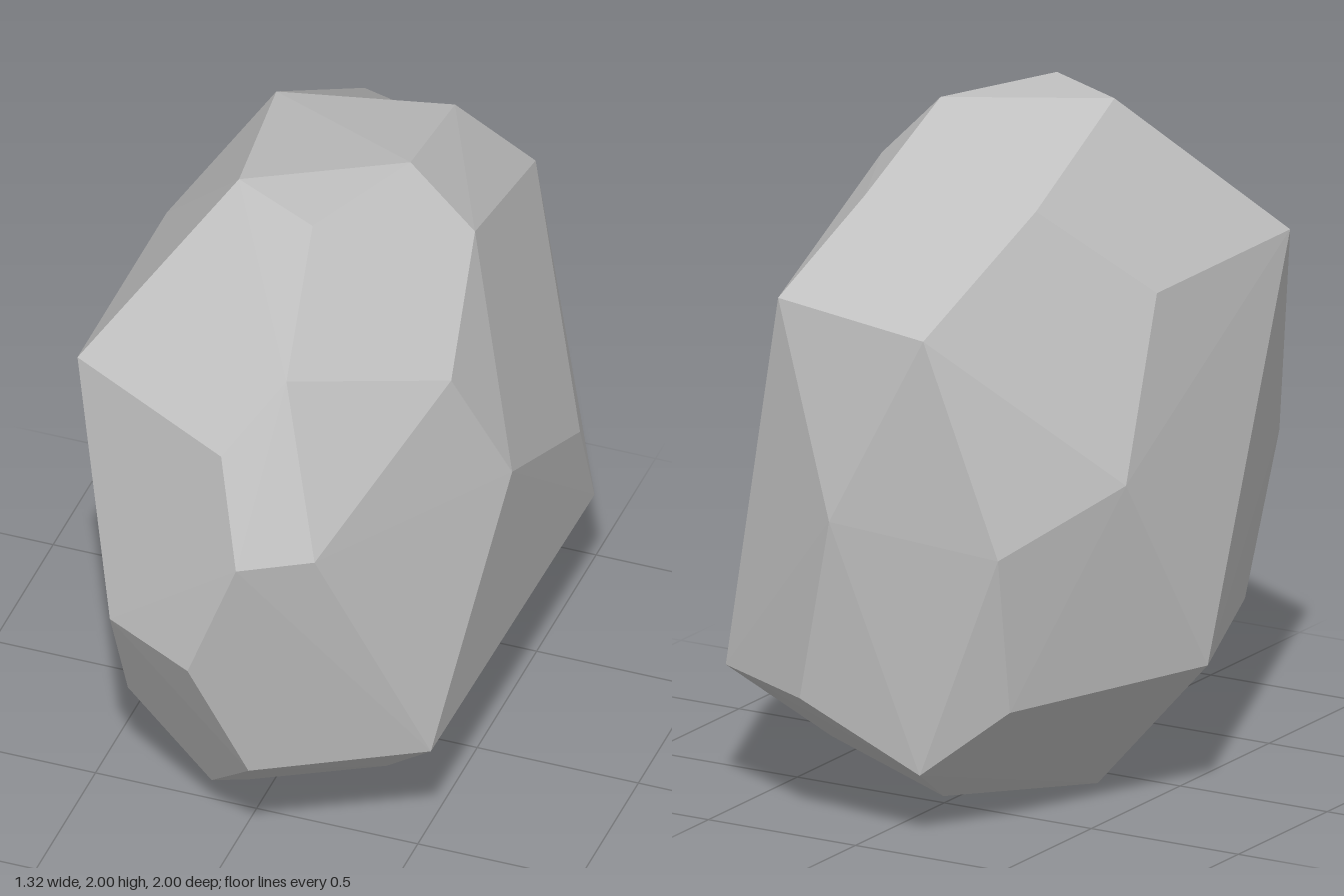
import * as THREE from 'three';
import { ConvexGeometry } from 'three/addons/geometries/ConvexGeometry.js';

const v3 = (x, y, z) => new THREE.Vector3(x, y, z);

// Corners of the hollow facet on the upper back, counter-clockwise from outside
const hollow = [v3(-0.30, 1.84, -0.48), v3(0.21, 1.84, -0.60), v3(0.39, 1.55, -0.79), v3(-0.20, 1.55, -0.95)];

// Other corners of the boulder, in rings from the crown to the base
const crown = [
  v3(0.10, 2.0, 0.30), v3(-0.18, 2.0, 0.16), v3(0.26, 2.0, -0.09),
  v3(0.46, 1.80, -0.09), v3(0.17, 1.74, 0.71),
];
const shoulder = [
  v3(0.53, 1.55, 0.30), v3(0.03, 1.55, 0.88), v3(-0.53, 1.55, 0.57), v3(-0.53, 1.55, -0.18),
];
const waist = [
  v3(0.12, 1.24, 1.0), v3(0.32, 1.24, 0.88), v3(0.66, 1.14, 0.14), v3(0.62, 0.80, -0.54),
  v3(0.09, 0.97, -1.0), v3(-0.40, 0.89, -0.86), v3(-0.60, 1.05, -0.47),
  v3(-0.33, 0.84, 0.84), v3(-0.03, 0.84, 1.0),
];
const foot = [
  v3(0.57, 0.41, 0.58), v3(0.10, 0.40, 0.84), v3(-0.37, 0.40, 0.58), v3(-0.66, 0.42, -0.11),
  v3(-0.38, 0.40, -0.76), v3(0.22, 0.40, -0.95), v3(0.58, 0.40, -0.77),
];
const base = [
  v3(-0.11, 0.13, 0.58), v3(0.33, 0.10, 0.30), v3(-0.06, 0.02, 0.40), v3(-0.28, 0, -0.10),
  v3(-0.10, 0.08, -0.67), v3(-0.14, 0.20, -0.87), v3(0.37, 0.15, -0.52),
];

// Turns the ridge across the hollow facet into a valley by swapping its diagonal
function carveHollow(geometry) {
  const [a, b, c, d] = hollow;
  const { position, normal } = geometry.attributes;
  const facing = c.clone().sub(a).cross(d.clone().sub(b)).normalize();
  const corner = new THREE.Vector3();
  for (let i = 0; i < position.count; i += 3) {
    const find = (p) => [i, i + 1, i + 2].find(
      (k) => corner.fromBufferAttribute(position, k).distanceTo(p) < 1e-4);
    const atB = find(b), atD = find(d);
    if (atB === undefined || atD === undefined) continue;
    if (find(a) !== undefined) position.setXYZ(atD, c.x, c.y, c.z);
    else position.setXYZ(atB, a.x, a.y, a.z);
    // One shared normal keeps the facet reading as a single plane
    for (let k = i; k < i + 3; k++) normal.setXYZ(k, facing.x, facing.y, facing.z);
  }
  return geometry;
}

export function createModel() {
  const group = new THREE.Group();
  group.name = 'rock';

  const stone = new THREE.MeshStandardMaterial({ color: 0xc2c2c2 });
  stone.name = 'grey stone';

  // The convex hull gives broad, flat-shaded facets
  const hull = new ConvexGeometry([hollow, crown, shoulder, waist, foot, base].flat());
  const boulder = new THREE.Mesh(carveHollow(hull), stone);
  boulder.name = 'boulder';
  group.add(boulder);
  return group;
}
